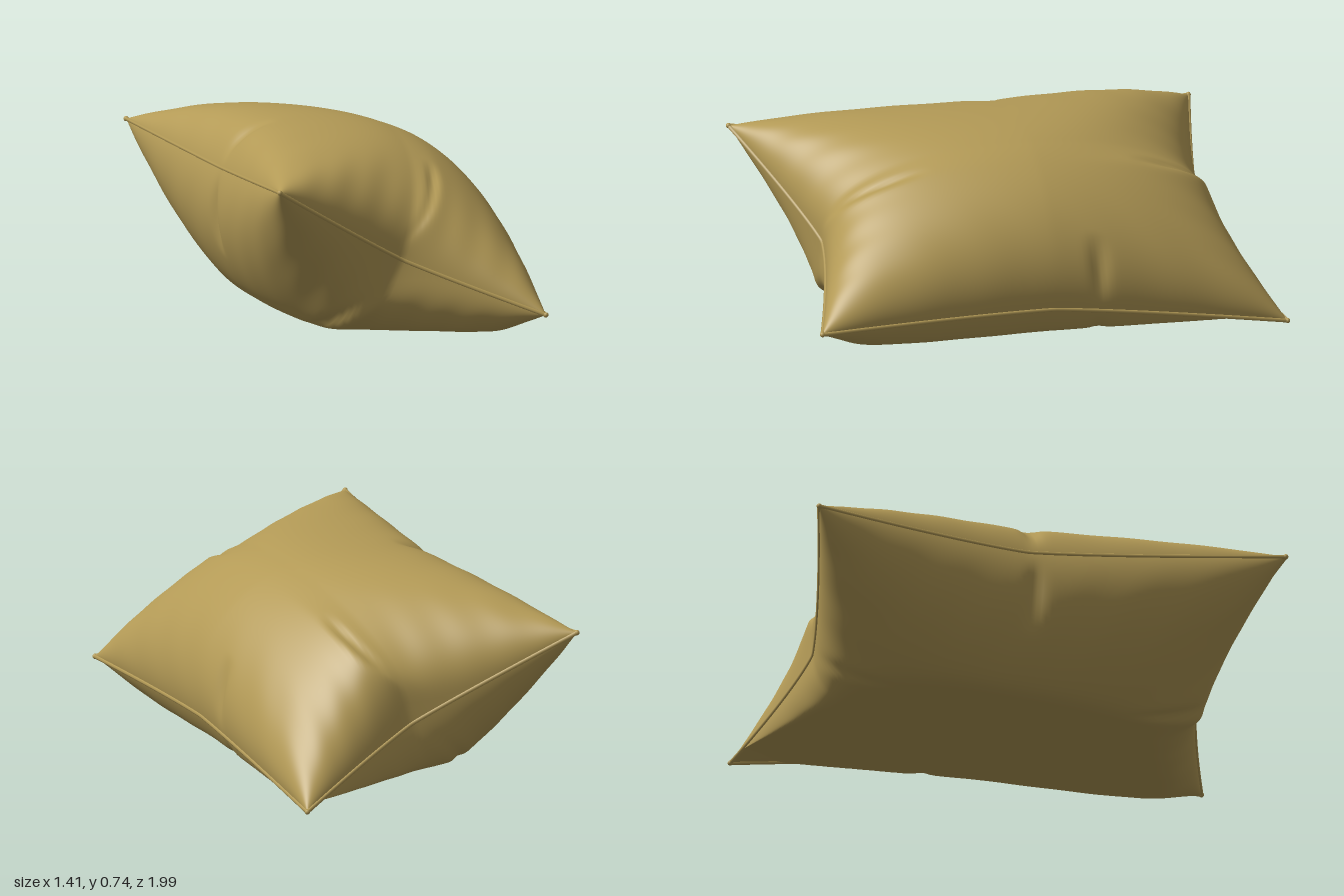
import * as THREE from 'three';

const V = (x, y, z) => new THREE.Vector3(x, y, z);

// Four pointed corners of the sack
const backRight = V(-0.692, 0.575, -0.825), backLeft = V(0.395, 0.012, -0.99);
const frontRight = V(-0.315, 0.67, 0.985), frontLeft = V(0.695, 0.15, 0.825);

// How far the middle of each edge is pulled from a straight line
const pullFront = V(-0.02, -0.06, -0.18), pullBack = V(0.07, -0.04, 0.155);
const pullRight = V(0.07, -0.06, -0.08), pullLeft = V(0, 0.07, 0);

// Direction in which each sheet is inflated
const topBulge = V(0.28, 0.94, 0), bottomBulge = V(-0.39, -0.92, 0);
const bump = (d, width) => Math.exp(-((d / width) ** 2));
const arch = (a) => 1 - Math.abs(a) ** 1.25;

// Point on the sack: s across, t along, side +1 top sheet, -1 bottom sheet, 0 seam level
function sackPoint(s, t, side) {
  const a = (1 + s) / 2, b = (1 + t) / 2;
  const p = V(0, 0, 0)
    .addScaledVector(backRight, (1 - a) * (1 - b))
    .addScaledVector(backLeft, a * (1 - b))
    .addScaledVector(frontRight, (1 - a) * b)
    .addScaledVector(frontLeft, a * b)
    .addScaledVector(pullFront, arch(s) * b)
    .addScaledVector(pullBack, arch(s) * (1 - b))
    .addScaledVector(pullRight, arch(t) * (1 - a))
    .addScaledVector(pullLeft, arch(t) * a);
  const floor = Math.min(0.042, p.y);
  let rounding = 0;

  if (side !== 0) {
    // Folded ridge up each end: steep at the back top and front bottom, gentler on the others
    const lengthwise = Math.max(0, 1 - t * t);
    const offRidge = s - side * 0.22 * Math.tanh(2 * Math.sqrt(lengthwise));
    const steepness = side * t < 0 ? 0.3 : 0.13;
    const power = 0.5 - steepness * Math.exp(0.1 - Math.hypot(offRidge, 0.04) / 0.36);
    const inflate = Math.sqrt(Math.max(0, 1 - s * s)) * lengthwise ** power;

    // Crease beside each ridge, pinches in the long seams, and fine gathers
    const crease = bump(offRidge + 0.05, 0.035) * THREE.MathUtils.smoothstep(Math.abs(t), 0.5, 0.75);
    const pinch = bump(t - (s < 0 ? 0.03 : -0.2), 0.035) * THREE.MathUtils.smoothstep(Math.abs(s), 0.75, 0.97);
    const gather = 0.02 * Math.sin(23 * t + 9 * s) * Math.abs(s) ** 6 + 0.015 * Math.sin(27 * s + 5 * t) * t ** 6;
    const h = (side > 0 ? 0.42 : 0.45) * inflate * (1 - 0.05 * crease - 0.25 * pinch + gather);
    p.addScaledVector(side > 0 ? topBulge : bottomBulge, h);
    if (side < 0) rounding = 0.022 * Math.min(1, 2 * inflate);
  }

  // Softly levelled top, and a flat resting underside with a rounded rim
  if (p.y > 0.64) p.y = 0.64 + 0.14 * Math.tanh((p.y - 0.64) / 0.14);
  const above = p.y - floor;
  p.y = floor + Math.max(above, 0);
  if (rounding > 0.001) p.y += rounding * Math.log1p(Math.exp(-Math.abs(above) / rounding));
  return p;
}

// One cloth sheet, with rows packed toward the seams
function sheet(side) {
  const geo = new THREE.PlaneGeometry(2, 2, 120, 150);
  const pos = geo.attributes.position;
  const ease = (k) => Math.sin(k * Math.PI / 2);
  for (let i = 0; i < pos.count; i++) {
    const p = sackPoint(side * ease(pos.getX(i)), -ease(pos.getY(i)), side);
    pos.setXYZ(i, p.x, p.y, p.z);
  }
  geo.computeVertexNormals();
  return geo;
}

// Thin stitched ridge along one edge
function seam(edgePoint) {
  const pts = [];
  for (let i = 0; i <= 32; i++) pts.push(edgePoint(-1 + i / 16));
  return new THREE.TubeGeometry(new THREE.CatmullRomCurve3(pts), 80, 0.008, 6);
}

export function createModel() {
  const cloth = new THREE.MeshStandardMaterial({ color: 0xb39a56 });
  const group = new THREE.Group();
  group.name = 'sack';
  const add = (name, geo) => {
    const mesh = new THREE.Mesh(geo, cloth);
    mesh.name = name;
    group.add(mesh);
  };

  add('topSheet', sheet(1));
  add('bottomSheet', sheet(-1));

  add('frontSeam', seam((k) => sackPoint(k, 1, 0)));
  add('backSeam', seam((k) => sackPoint(k, -1, 0)));
  add('leftSeam', seam((k) => sackPoint(1, k, 0)));
  add('rightSeam', seam((k) => sackPoint(-1, k, 0)));

  // Rounded tips closing the seams at the corners
  [backRight, backLeft, frontRight, frontLeft].forEach((c, i) => {
    const tip = new THREE.SphereGeometry(0.01, 10, 8);
    tip.translate(c.x, c.y, c.z);
    add('cornerTip' + (i + 1), tip);
  });
  return group;
}
